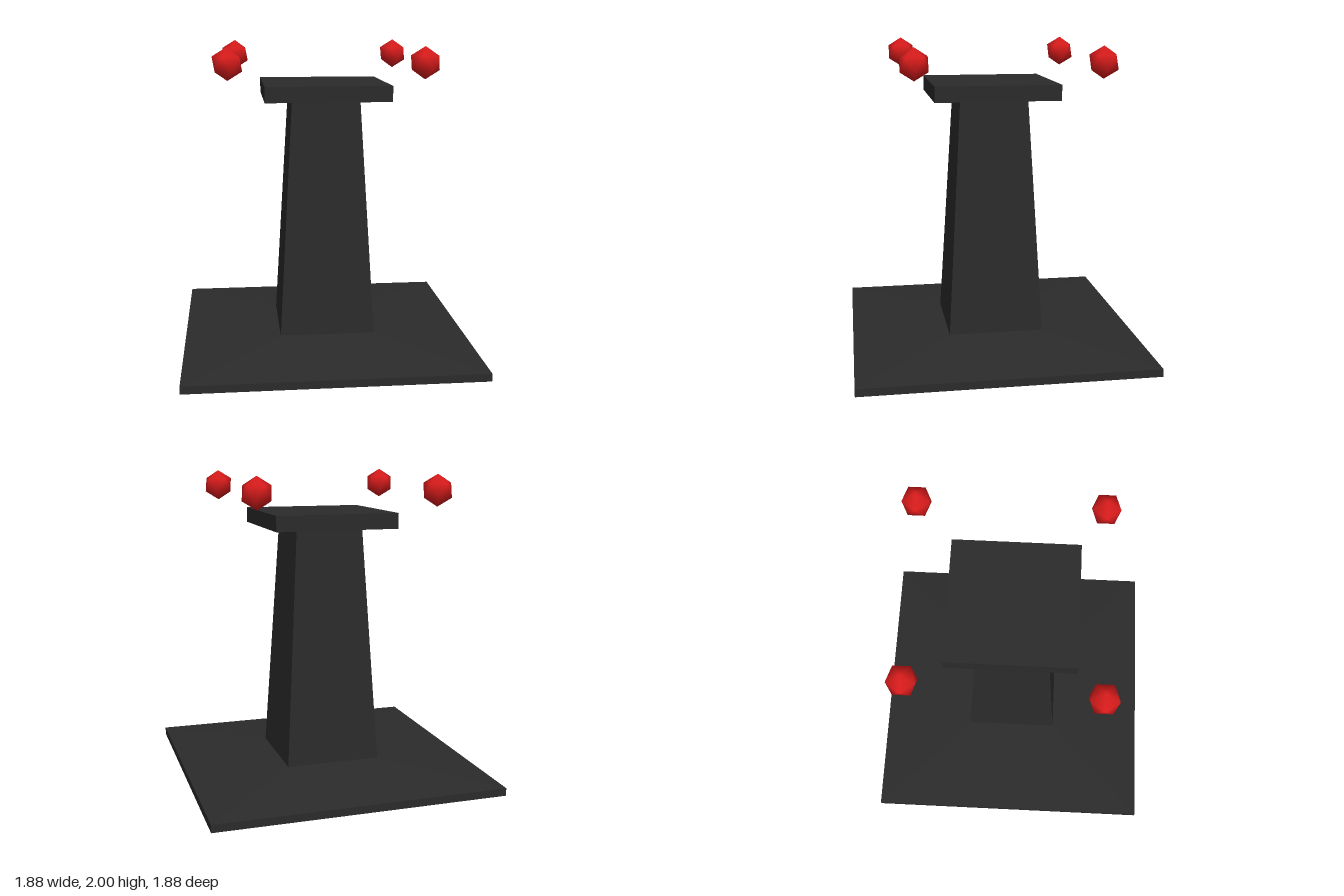
import * as THREE from 'three';

const stone = new THREE.MeshStandardMaterial({ color: 0x2b2b2b, flatShading: true });
const red = new THREE.MeshStandardMaterial({ color: 0xdd1c1c });

// Square block from y0 to y1, tapering from half width w0 to w1
function block(name, y0, y1, w0, w1 = w0) {
  const geometry = new THREE.BoxGeometry(2, y1 - y0, 2);
  geometry.translate(0, (y0 + y1) / 2, 0);
  const p = geometry.attributes.position;
  const middle = (y0 + y1) / 2;
  for (let i = 0; i < p.count; i++) {
    const w = p.getY(i) > middle ? w1 : w0;
    p.setX(i, p.getX(i) * w);
    p.setZ(i, p.getZ(i) * w);
  }
  geometry.computeVertexNormals();
  const mesh = new THREE.Mesh(geometry, stone);
  mesh.name = name;
  return mesh;
}

export function createModel() {
  const model = new THREE.Group();
  model.name = 'pedestal';

  // Pedestal
  model.add(
    block('basePlate', 0, 0.05, 0.94),
    block('baseSlope', 0.05, 0.105, 0.94, 0.31),
    block('shaft', 0.105, 1.65, 0.31, 0.22),
    block('capSlab', 1.65, 1.75, 0.4)
  );

  // Smooth-shaded twenty-sided orb with one corner pointing up
  const orb = new THREE.IcosahedronGeometry(0.1, 0);
  orb.rotateZ(Math.atan2(1, (1 + Math.sqrt(5)) / 2));
  orb.setAttribute('normal', orb.attributes.position.clone());
  orb.normalizeNormals();

  // Four orbs floating around the cap
  const orbs = new THREE.Group();
  orbs.name = 'floatingOrbs';
  const spots = [[-0.57, -0.605], [0.57, -0.615], [-0.625, 0.54], [0.57, 0.535]];
  for (const [x, z] of spots) {
    const mesh = new THREE.Mesh(orb, red);
    mesh.name = 'orb';
    mesh.position.set(x, 1.9, z);
    orbs.add(mesh);
  }
  model.add(orbs);
  return model;
}
